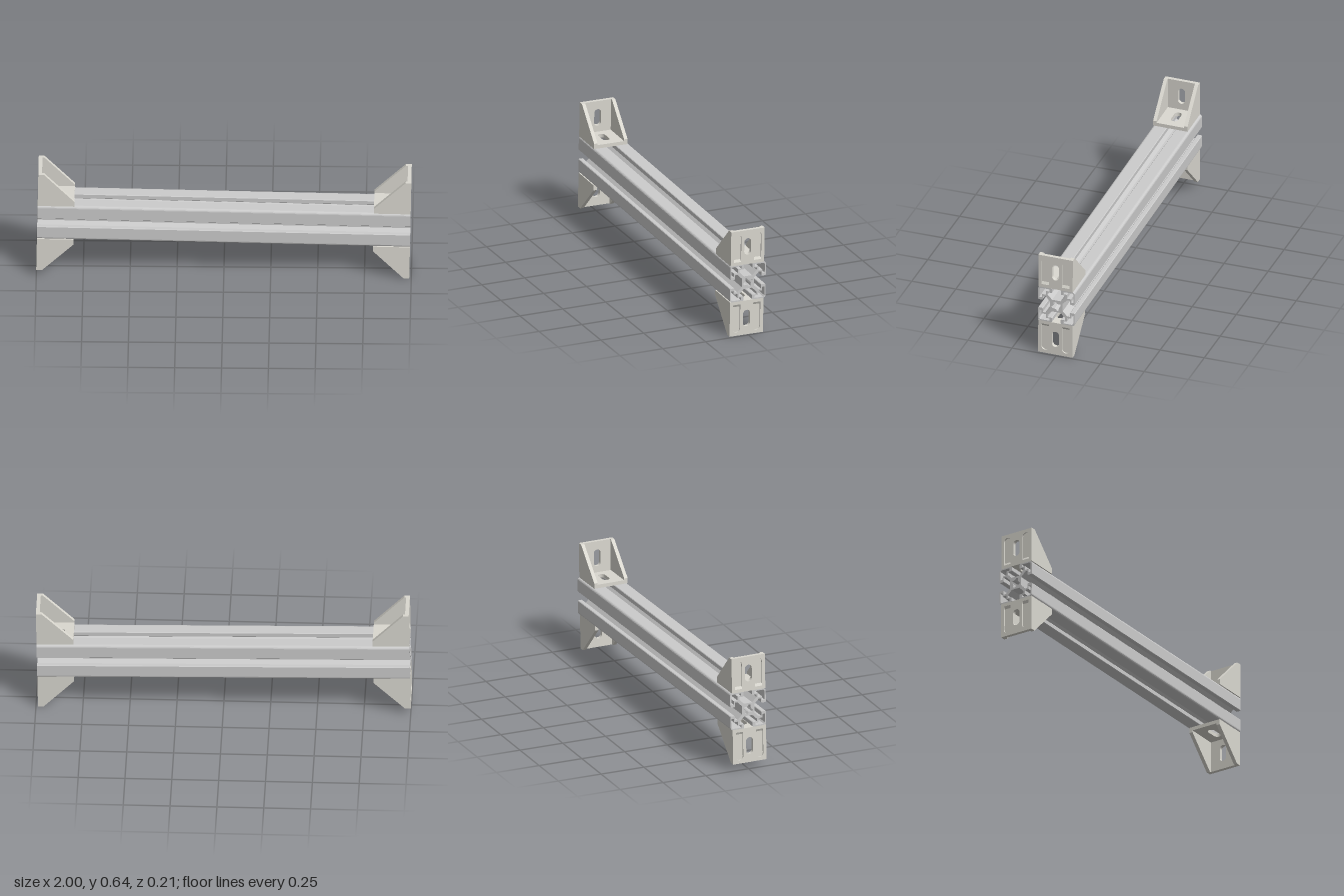
import * as THREE from 'three';

const beamMat = new THREE.MeshStandardMaterial({ color: 0xcccccc });
const bracketMat = new THREE.MeshStandardMaterial({ color: 0xdad8d0 });
const X = new THREE.Vector3(1, 0, 0), Y = new THREE.Vector3(0, 1, 0), Z = new THREE.Vector3(0, 0, 1);
const HALF = 0.104, LENGTH = 1.99, W = 0.195, LEG = 0.196;

const vec = (pts) => pts.map(([x, y]) => new THREE.Vector2(x, y));
const extrude = (shape, depth) => new THREE.ExtrudeGeometry(shape, { depth, bevelEnabled: false, curveSegments: 12 });
const basis = (a, b, c) => new THREE.Matrix4().makeBasis(a, b, c);

function addMesh(parent, name, geometry, material) {
  const mesh = new THREE.Mesh(geometry, material);
  mesh.name = name;
  parent.add(mesh);
  return mesh;
}

// Slotted extrusion: one quadrant repeated four times around the axis
function makeBeam() {
  const lower = [[0.036, 0], [0.036, 0.024], [0.062, 0.05], [0.077, 0.05], [0.077, 0.028],
    [0.08, 0.025], [0.101, 0.025], [HALF, 0.028], [HALF, 0.09]];
  const corner = [1, 2, 3].map((i) => {
    const a = i * Math.PI / 8;
    return [0.09 + 0.014 * Math.cos(a), 0.09 + 0.014 * Math.sin(a)];
  });
  const upper = lower.slice(1).reverse().map(([x, y]) => [y, x]);
  const quadrant = [...lower, ...corner, ...upper];
  const cavity = [[0.04, 0.083], [0.04, 0.097], [0.09, 0.097], [0.097, 0.09], [0.097, 0.04],
    [0.083, 0.04], [0.083, 0.06], [0.06, 0.06], [0.06, 0.083]];
  const turn = (pts, k) => pts.map(([x, y]) => {
    for (let i = 0; i < k; i++) [x, y] = [-y, x];
    return [x, y];
  });

  const outline = [];
  for (let k = 0; k < 4; k++) outline.push(...turn(quadrant, k));
  const shape = new THREE.Shape(vec(outline));
  for (let k = 0; k < 4; k++) shape.holes.push(new THREE.Path(vec(turn(cavity, k))));

  // Splined centre bore
  const bore = [];
  for (let i = 0; i < 16; i++) {
    const r = i % 4 < 2 ? 0.028 : 0.018, a = (i + 0.5) * Math.PI / 8;
    bore.push([r * Math.cos(a), r * Math.sin(a)]);
  }
  shape.holes.push(new THREE.Path(vec(bore)));
  return extrude(shape, LENGTH).translate(0, 0, -LENGTH / 2).rotateY(Math.PI / 2);
}

// Rounded slot; the near end can be left square
function slot(x, y0, y1, r, squareStart) {
  const p = new THREE.Path();
  p.absarc(x, y1 - r, r, 0, Math.PI, false);
  if (squareStart) p.lineTo(x - r, y0).lineTo(x + r, y0);
  else p.absarc(x, y0 + r, r, Math.PI, Math.PI * 2, false);
  p.closePath();
  return p;
}

function plateShape(start) {
  const h = W / 2;
  const s = new THREE.Shape(vec([[-h, start], [h, start], [h, LEG], [-h, LEG]]));
  s.holes.push(slot(0, 0.055, 0.149, 0.02, false));
  return s;
}

// Flange with a through slot and two shallow grooves on its outer face
function makePlate(name, start) {
  const plate = new THREE.Group();
  plate.name = name;
  const face = plateShape(start);
  for (const x of [-0.0585, 0.0585]) {
    face.holes.push(slot(x, 0.018, 0.177, 0.021, true));
    // Sloped groove end
    const ramp = new THREE.Shape(vec([[0.017, 0], [0.032, 0.008], [0.017, 0.008]]));
    const geometry = extrude(ramp, 0.042).applyMatrix4(basis(Y, Z, X)).translate(x - 0.021, 0, 0);
    addMesh(plate, 'grooveRamp', geometry, bracketMat);
  }
  addMesh(plate, 'outerFace', extrude(face, 0.008), bracketMat);
  addMesh(plate, 'innerFace', extrude(plateShape(start), 0.012).translate(0, 0, 0.008), bracketMat);
  return plate;
}

// Corner bracket with its heel at the origin, extending along -x and +y
function makeBracket(name) {
  const bracket = new THREE.Group();
  bracket.name = name;
  const upright = makePlate('uprightFlange', 0);
  upright.applyMatrix4(basis(Z, Y, X.clone().negate()));
  const base = makePlate('baseFlange', 0.009);
  base.applyMatrix4(basis(Z.clone().negate(), X.clone().negate(), Y));
  bracket.add(upright, base);

  // Triangular side walls
  const side = new THREE.Shape(vec([[-0.01, 0.01], [-0.01, LEG], [-0.03, LEG], [-LEG, 0.03], [-LEG, 0.01]].reverse()));
  for (const z of [-W / 2, W / 2 - 0.02]) {
    addMesh(bracket, 'sideWall', extrude(side, 0.02).translate(0, 0, z), bracketMat);
  }
  return bracket;
}

export function createModel() {
  const model = new THREE.Group();
  model.name = 'beamWithBrackets';
  const assembly = new THREE.Group();
  assembly.name = 'assembly';
  addMesh(assembly, 'slottedBeam', makeBeam(), beamMat);

  // One bracket above and one below at each end
  for (const sx of [1, -1]) {
    for (const sy of [1, -1]) {
      const b = makeBracket((sy > 0 ? 'upper' : 'lower') + (sx > 0 ? 'Left' : 'Right') + 'Bracket');
      if (sx > 0 && sy < 0) b.rotation.x = Math.PI;
      if (sx < 0 && sy > 0) b.rotation.y = Math.PI;
      if (sx < 0 && sy < 0) b.rotation.z = Math.PI;
      b.position.set(sx * LENGTH / 2, sy * HALF, 0.005);
      assembly.add(b);
    }
  }

  // The whole assembly leans slightly
  assembly.rotation.set(-0.009, 0, -0.0187);
  assembly.position.y = 0.318;
  model.add(assembly);
  return model;
}
